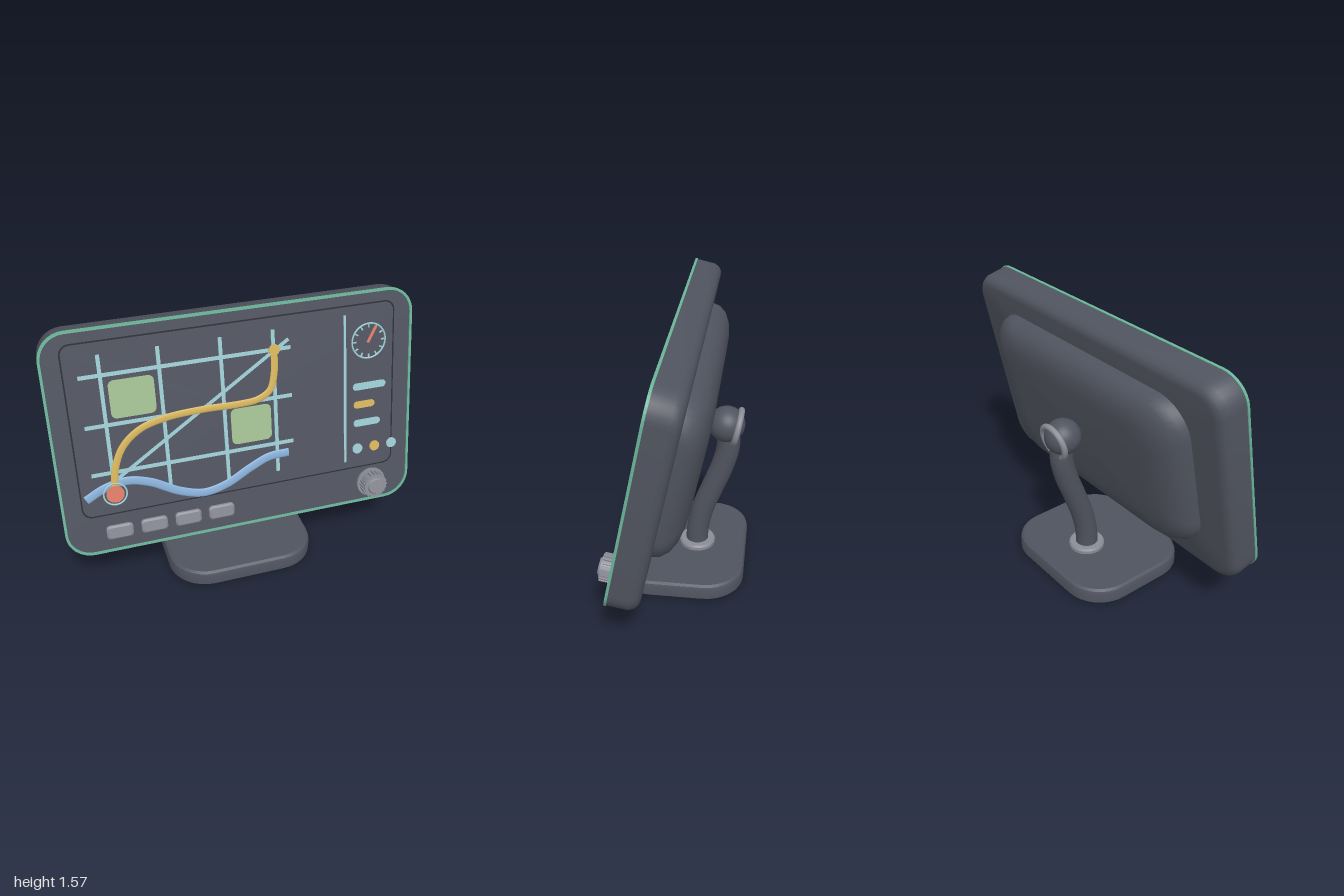
import * as THREE from 'three';
import { toCreasedNormals } from 'three/addons/utils/BufferGeometryUtils.js';

const mat = (name, color) => Object.assign(new THREE.MeshStandardMaterial({ color }), { name });
const TILT = 0.207, CENTRE_Y = 0.96, CENTRE_Z = 0.157;

export function createModel() {
  const M = {
    body: mat('slate casing', 0x50545f), dark: mat('dark rubber', 0x2b2d33),
    metal: mat('grey metal', 0x8a8c97), mint: mat('mint trim', 0x6ab398),
    line: mat('pale cyan', 0x9dccd3), yellow: mat('route yellow', 0xd6b45c),
    river: mat('river blue', 0x88b0d8), park: mat('park green', 0xa2bf92),
    red: mat('coral red', 0xe07c68),
  };
  const model = new THREE.Group();
  model.name = 'mapDisplay';
  const head = new THREE.Group();
  head.name = 'displayHead';
  head.position.set(0, CENTRE_Y, CENTRE_Z);
  head.rotation.x = -TILT;
  model.add(head);

  const add = (parent, name, geo, material, x = 0, y = 0, z = 0) => {
    const mesh = new THREE.Mesh(geo, material);
    mesh.name = name;
    mesh.position.set(x, y, z);
    parent.add(mesh);
    return mesh;
  };
  // Height on the model to height along the tilted face
  const up = (y) => (y - CENTRE_Y) / Math.cos(TILT);

  // Outline of a rounded rectangle, counter-clockwise
  const outline = (w, h, r, n = 8) => {
    const pts = [];
    for (let c = 0; c < 4; c++) {
      const sx = c === 0 || c === 3 ? 1 : -1, sy = c < 2 ? 1 : -1;
      for (let i = 0; i <= n; i++) {
        const a = (c + i / n) * Math.PI / 2;
        pts.push(new THREE.Vector2(sx * (w / 2 - r) + r * Math.cos(a), sy * (h / 2 - r) + r * Math.sin(a)));
      }
    }
    return pts;
  };
  // Solid through rounded rectangles [width, height, radius, z], back to front
  const loft = (rings) => {
    const pos = [], idx = [];
    const n = outline(1, 1, 0.1).length;
    for (const [w, h, r, z] of rings) for (const p of outline(w, h, r)) pos.push(p.x, p.y, z);
    const back = rings.length * n, front = back + 1;
    pos.push(0, 0, rings[0][3], 0, 0, rings[rings.length - 1][3]);
    for (let j = 0; j < n; j++) {
      const k = (j + 1) % n, last = (rings.length - 1) * n;
      for (let i = 0; i < rings.length - 1; i++) {
        const a = i * n + j, b = i * n + k;
        idx.push(a, b, b + n, a, b + n, a + n);
      }
      idx.push(back, k, j, front, last + j, last + k);
    }
    const g = new THREE.BufferGeometry();
    g.setAttribute('position', new THREE.Float32BufferAttribute(pos, 3));
    g.setIndex(idx);
    return toCreasedNormals(g, 0.6);
  };
  const frame = (w, h, r, t, depth) => {
    const s = new THREE.Shape(outline(w, h, r));
    s.holes.push(new THREE.Path(outline(w - 2 * t, h - 2 * t, r - t).reverse()));
    return new THREE.ExtrudeGeometry(s, { depth, bevelEnabled: false });
  };
  const cyl = (r1, r2, d, seg = 32) => new THREE.CylinderGeometry(r1, r2, d, seg).rotateX(Math.PI / 2);

  // Casing and back shell
  add(head, 'casing', loft([
    [1.88, 1.13, 0.1, -0.165], [1.93, 1.18, 0.12, -0.16], [1.97, 1.215, 0.135, -0.143],
    [1.99, 1.238, 0.14, -0.115], [1.992, 1.242, 0.14, 0],
  ]), M.body);
  add(head, 'backShell', loft([
    [1.06, 0.58, 0.14, -0.303], [1.24, 0.7, 0.17, -0.297], [1.38, 0.81, 0.19, -0.278],
    [1.48, 0.89, 0.2, -0.247], [1.54, 0.93, 0.2, -0.205], [1.56, 0.94, 0.2, -0.16],
  ]), M.body);
  add(head, 'edgeTrim', frame(2, 1.25, 0.145, 0.014, 0.014), M.mint, 0, 0, -0.007);

  // Screen
  const screenV = 0.077;
  add(head, 'screenSeam', frame(1.79, 0.96, 0.055, 0.008, 0.003), M.dark, 0, screenV);
  add(head, 'screen', loft([[1.775, 0.945, 0.05, -0.01], [1.775, 0.945, 0.05, 0.003]]), M.body, 0, screenV);

  // Flat painted details, placed by x and model height
  const plate = (name, x, y, w, h, r, z, m) =>
    add(head, name, loft([[w, h, r, -0.003], [w, h, r, 0.003]]), m, x, up(y), z);
  const disc = (name, x, y, r, z, m) => add(head, name, cyl(r, r, 0.008), m, x, up(y), z);
  const stroke = (name, x1, y1, x2, y2, w, z, m) => {
    const dx = x2 - x1, dy = up(y2) - up(y1);
    const s = add(head, name, new THREE.BoxGeometry(Math.hypot(dx, dy), w, 0.006), m,
      (x1 + x2) / 2, up((y1 + y2) / 2), z);
    s.rotation.z = Math.atan2(dy, dx);
  };
  const ribbon = (name, pts, r, z, m) => {
    const curve = new THREE.CatmullRomCurve3(pts.map(([x, y]) => new THREE.Vector3(x, up(y), 0)));
    add(head, name, new THREE.TubeGeometry(curve, 80, r, 10).scale(1, 1, 0.25), m, 0, 0, z);
  };

  // Map
  plate('park', -0.56, 1.195, 0.235, 0.205, 0.03, 0.004, M.park);
  plate('park', 0.06, 0.94, 0.225, 0.205, 0.03, 0.004, M.park);
  for (const x of [-0.71, -0.41, -0.085, 0.2]) stroke('street', x, 0.64, x, 1.435, 0.02, 0.006, M.line);
  for (const y of [0.805, 1.067, 1.33]) stroke('street', -0.82, y, 0.295, y, 0.02, 0.0065, M.line);
  stroke('diagonalStreet', -0.72, 0.745, 0.285, 1.375, 0.018, 0.007, M.line);
  ribbon('river', [[-0.865, 0.675], [-0.76, 0.725], [-0.64, 0.745], [-0.52, 0.715], [-0.36, 0.63],
    [-0.23, 0.595], [-0.1, 0.62], [0.04, 0.69], [0.15, 0.735], [0.265, 0.742]], 0.025, 0.007, M.river);
  ribbon('route', [[-0.71, 0.69], [-0.695, 0.82], [-0.64, 0.94], [-0.54, 1.02], [-0.4, 1.058], [-0.2, 1.07],
    [0, 1.066], [0.1, 1.075], [0.17, 1.115], [0.197, 1.2], [0.203, 1.33]], 0.02, 0.011, M.yellow);
  disc('routeEnd', 0.203, 1.33, 0.03, 0.014, M.yellow);
  disc('positionMarker', -0.71, 0.685, 0.048, 0.015, M.red);
  add(head, 'markerRing', new THREE.TorusGeometry(0.062, 0.005, 8, 40), M.line, -0.71, up(0.685), 0.013);

  // Side panel: gauge, bars and dots
  stroke('divider', 0.605, 0.615, 0.605, 1.455, 0.014, 0.006, M.line);
  const gx = 0.745, gy = 1.3;
  add(head, 'gaugeRing', new THREE.TorusGeometry(0.097, 0.005, 8, 48), M.line, gx, up(gy), 0.005);
  for (let i = 0; i < 12; i++) {
    const c = Math.cos(i * Math.PI / 6), s = Math.sin(i * Math.PI / 6);
    stroke('gaugeTick', gx + 0.072 * c, gy + 0.072 * s, gx + 0.09 * c, gy + 0.09 * s, 0.008, 0.005, M.line);
  }
  stroke('gaugeNeedle', 0.738, 1.292, 0.785, 1.375, 0.015, 0.008, M.red);
  plate('infoBar', 0.75, 1.05, 0.195, 0.04, 0.019, 0.006, M.line);
  plate('infoBar', 0.72, 0.945, 0.125, 0.04, 0.019, 0.006, M.yellow);
  plate('infoBar', 0.737, 0.837, 0.16, 0.04, 0.019, 0.006, M.line);
  [M.line, M.yellow, M.line].forEach((m, i) => disc('statusDot', 0.68 + i * 0.105, 0.685, 0.03, 0.006, m));

  // Push buttons
  for (let i = 0; i < 4; i++) {
    add(head, 'button', loft([[0.145, 0.08, 0.02, 0], [0.145, 0.08, 0.02, 0.012], [0.125, 0.062, 0.015, 0.02]]),
      M.metal, -0.71 + i * 0.19, up(0.463));
  }

  // Ribbed knob
  const knob = new THREE.Group();
  knob.name = 'knob';
  knob.position.set(0.765, up(0.463), 0);
  head.add(knob);
  add(knob, 'knobFlange', cyl(0.086, 0.086, 0.012, 40), M.metal, 0, 0, 0.006);
  add(knob, 'knobBody', cyl(0.066, 0.066, 0.065, 40), M.metal, 0, 0, 0.038);
  add(knob, 'knobCap', cyl(0.042, 0.05, 0.012), M.metal, 0, 0, 0.075);
  for (let i = 0; i < 20; i++) {
    const a = i * Math.PI / 10;
    const rib = add(knob, 'knobRib', new THREE.BoxGeometry(0.012, 0.01, 0.05), M.metal,
      0.068 * Math.cos(a), 0.068 * Math.sin(a), 0.04);
    rib.rotation.z = a;
  }

  // Pivot ball with its ring
  add(model, 'pivotBall', new THREE.SphereGeometry(0.102, 32, 20), M.body, 0, 0.915, -0.237);
  add(model, 'pivotRing', new THREE.TorusGeometry(0.095, 0.017, 12, 48), M.metal, 0, 0.902, -0.297)
    .rotation.x = -TILT;

  // Curved stem and collar
  const path = new THREE.CatmullRomCurve3([[0.08, -0.08], [0.2, -0.082], [0.35, -0.112], [0.5, -0.165],
    [0.65, -0.22], [0.78, -0.249], [0.9, -0.245]].map(([y, z]) => new THREE.Vector3(0, y, z)));
  add(model, 'stem', new THREE.TubeGeometry(path, 48, 0.065, 28), M.body);
  const collar = [[0, 0.09], [0.105, 0.09], [0.105, 0.122], [0.097, 0.133], [0, 0.133]];
  add(model, 'collar', toCreasedNormals(new THREE.LatheGeometry(
    collar.map(([x, y]) => new THREE.Vector2(x, y)), 40), 0.6), M.metal, 0, 0, -0.08);

  // Base and rubber foot
  add(model, 'base', loft([
    [0.84, 0.72, 0.21, 0.012], [0.86, 0.74, 0.22, 0.02], [0.86, 0.74, 0.22, 0.075],
    [0.848, 0.728, 0.214, 0.093], [0.82, 0.7, 0.2, 0.103],
  ]).rotateX(-Math.PI / 2), M.body);
  add(model, 'foot', loft([[0.82, 0.7, 0.2, 0], [0.82, 0.7, 0.2, 0.014]]).rotateX(-Math.PI / 2), M.dark);

  return model;
}
